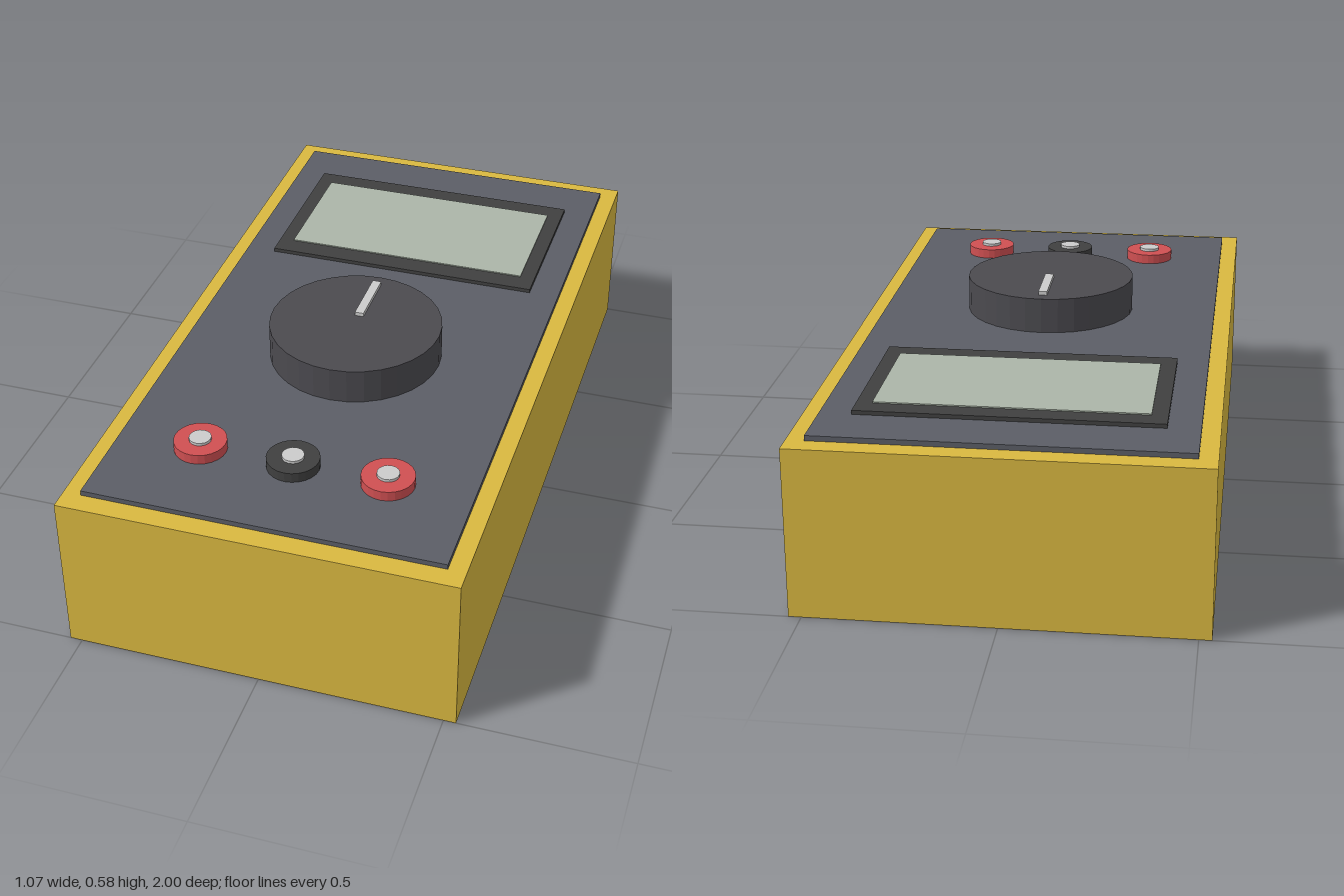
import * as THREE from 'three';

const mat = (color) => new THREE.MeshStandardMaterial({ color, flatShading: true });

export function createModel() {
  const model = new THREE.Group();
  const yellow = mat(0xd9b840), slate = mat(0x5b5e66), dark = mat(0x404040);
  const knob = mat(0x4b4a4f), glass = mat(0xabb5a8), red = mat(0xd05052), metal = mat(0xcccccc);

  const add = (name, geometry, material, x, y, z) => {
    const mesh = new THREE.Mesh(geometry, material);
    mesh.name = name;
    mesh.position.set(x, y, z);
    model.add(mesh);
  };
  // Box spanning y0..y1, centred on x = 0
  const slab = (name, material, width, y0, y1, z0, z1) =>
    add(name, new THREE.BoxGeometry(width, y1 - y0, z1 - z0), material, 0, (y0 + y1) / 2, (z0 + z1) / 2);
  // Upright disc spanning y0..y1
  const disc = (name, material, radius, y0, y1, x, z, sides) =>
    add(name, new THREE.CylinderGeometry(radius, radius, y1 - y0, sides), material, x, (y0 + y1) / 2, z);

  // Case, face plate and display
  slab('case', yellow, 1.067, 0, 0.458, -1, 1);
  slab('facePlate', slate, 0.97, 0.45, 0.472, -0.943, 0.943);
  slab('displayBezel', dark, 0.8, 0.465, 0.483, -0.79, -0.3);
  slab('displayScreen', glass, 0.715, 0.475, 0.4865, -0.733, -0.36);

  // Rotary selector with its pointer
  disc('selectorDial', knob, 0.242, 0.465, 0.572, 0, 0.141, 32);
  slab('dialPointer', metal, 0.025, 0.565, 0.583, -0.063, 0.11);

  // Row of three input sockets
  [-1, 0, 1].forEach((i) => {
    const x = i * 0.257;
    disc('socketCollar', i ? red : dark, 0.071, 0.465, 0.5, x, 0.684, 24);
    disc('socketContact', metal, 0.03, 0.49, 0.508, x, 0.684, 16);
  });

  return model;
}
